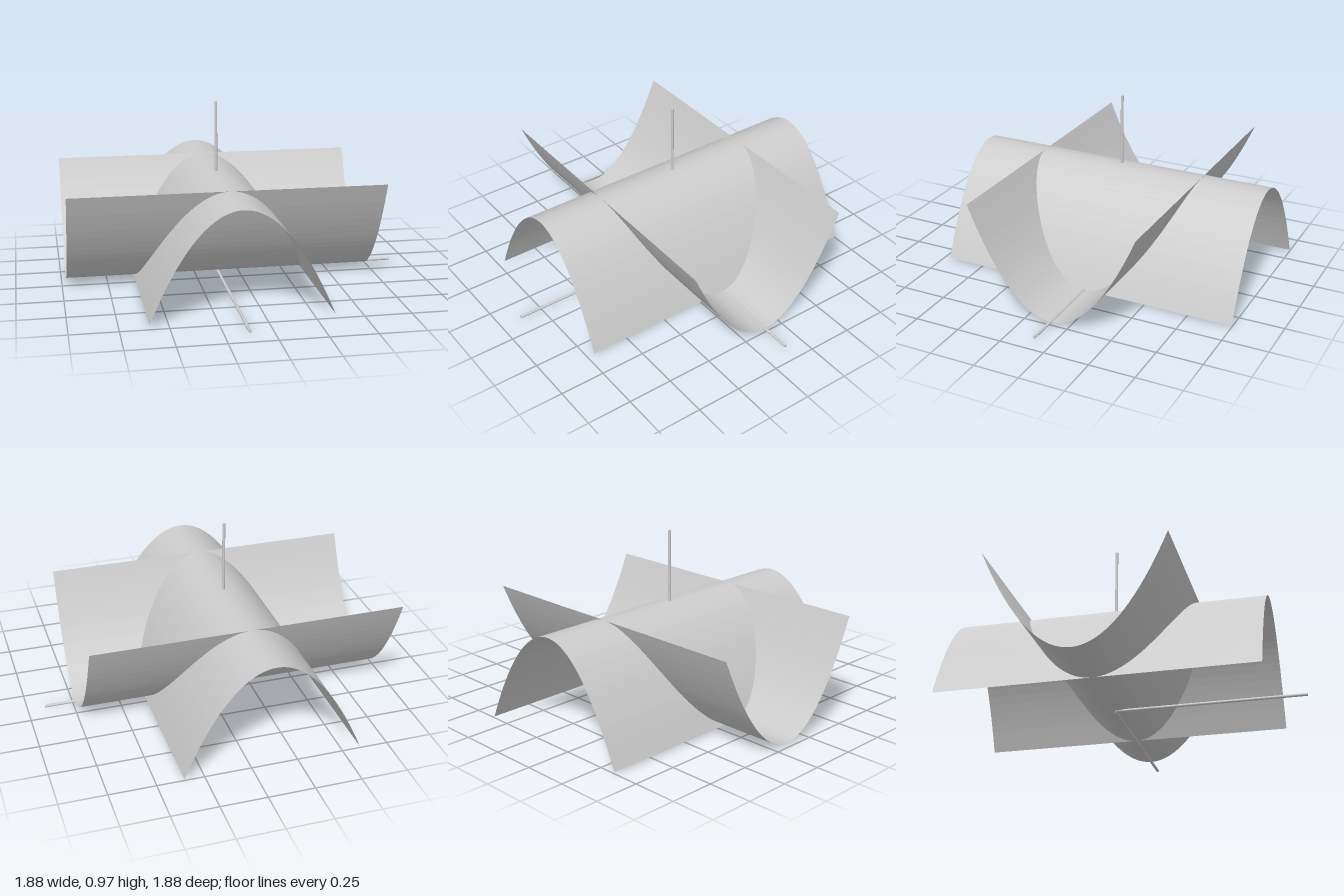
import * as THREE from 'three';

const ORIGIN = new THREE.Vector3(-0.12, 0.045, -0.145);
const HALF_WIDTH = 0.477, HALF_LENGTH = 0.855, HEIGHT = 0.57;
const ROD_RADIUS = 0.008;

// Sheet running along z, bent into a parabola across x by the given height rule
function parabolicSheet(name, heightAt, material) {
  const geo = new THREE.PlaneGeometry(2 * HALF_WIDTH, 2 * HALF_LENGTH, 40, 1).rotateX(-Math.PI / 2);
  const pos = geo.attributes.position;
  for (let i = 0; i < pos.count; i++) pos.setY(i, heightAt(pos.getX(i) / HALF_WIDTH));
  geo.computeVertexNormals();
  const mesh = new THREE.Mesh(geo, material);
  mesh.name = name;
  return mesh;
}

// Thin rod from the origin along a unit direction
function axisRod(name, direction, length, material) {
  const geo = new THREE.CylinderGeometry(ROD_RADIUS, ROD_RADIUS, length, 16).translate(0, length / 2, 0);
  const mesh = new THREE.Mesh(geo, material);
  mesh.quaternion.setFromUnitVectors(new THREE.Vector3(0, 1, 0), direction);
  mesh.name = name;
  return mesh;
}

export function createModel() {
  const group = new THREE.Group();
  group.name = 'crossedParabolicCylinders';
  const sheetMat = new THREE.MeshStandardMaterial({ color: 0xcccccc, side: THREE.DoubleSide, flatShading: true });
  const rodMat = new THREE.MeshStandardMaterial({ color: 0xcccccc });

  // Arch opening downward, running front to back
  const arch = parabolicSheet('archSheet', t => HEIGHT * (1 - t * t), sheetMat);

  // Trough opening upward, running side to side
  const trough = parabolicSheet('troughSheet', t => HEIGHT * t * t, sheetMat);
  trough.rotation.y = Math.PI / 2;

  // Coordinate axes meeting at the bottom of the trough
  const axes = new THREE.Group();
  axes.name = 'axes';
  axes.add(
    axisRod('sideAxis', new THREE.Vector3(1, 0, 0), 1.025, rodMat),
    axisRod('verticalAxis', new THREE.Vector3(0, 1, 0), 0.965, rodMat),
    axisRod('frontAxis', new THREE.Vector3(0, 0, 1), 1.025, rodMat),
  );

  group.add(arch, trough, axes);
  for (const part of group.children) part.position.copy(ORIGIN);
  return group;
}
